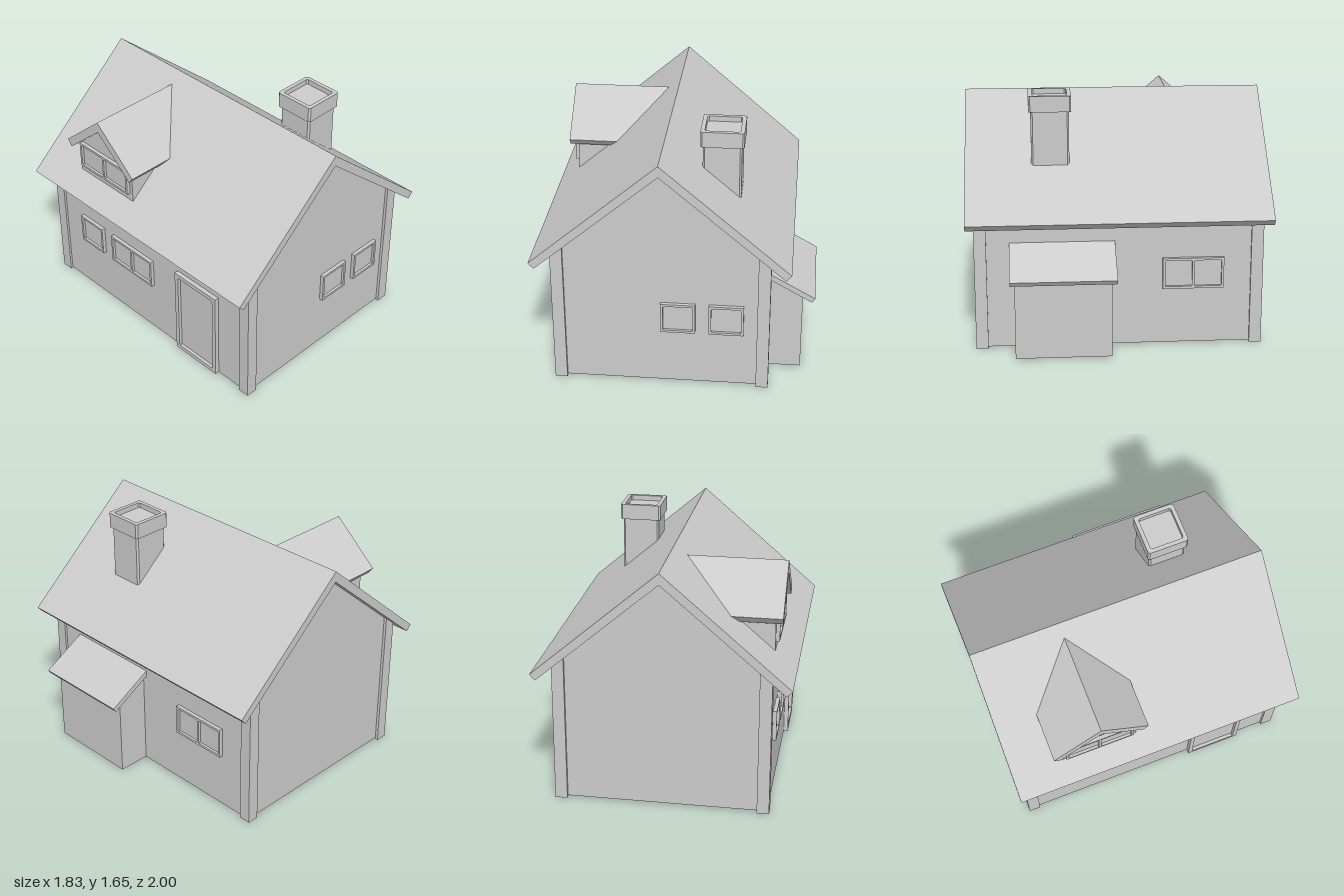
import * as THREE from 'three';

const material = new THREE.MeshStandardMaterial({ color: 0xcccccc, flatShading: true });
const RIDGE_X = -0.08, RIDGE_Y = 1.61, SLOPE = 0.862;
// Height of the main roof's top and underside at x
const roofTop = (x) => RIDGE_Y - SLOPE * Math.abs(x - RIDGE_X);
const roofUnder = (x) => roofTop(x) - 0.075;

const polygon = (points) => new THREE.Shape(points.map(([x, y]) => new THREE.Vector2(x, y)));

// Rectangle with small cut corners
function cutRect(x0, x1, y0, y1, c) {
  return polygon([[x0 + c, y0], [x1 - c, y0], [x1, y0 + c], [x1, y1 - c],
    [x1 - c, y1], [x0 + c, y1], [x0, y1 - c], [x0, y0 + c]]);
}

const extrude = (shape, depth) => new THREE.ExtrudeGeometry(shape, { depth, bevelEnabled: false });

function add(parent, name, geometry) {
  const mesh = new THREE.Mesh(geometry, material);
  mesh.name = name;
  parent.add(mesh);
  return mesh;
}

// Profile in x/y, running from z0 to z1
function prism(parent, name, points, z0, z1) {
  return add(parent, name, extrude(polygon(points), z1 - z0).translate(0, 0, z0));
}

// Vertical block with cut corners, optionally hollow
function column(parent, name, cx, cz, half, y0, y1, holeHalf) {
  const shape = cutRect(-half, half, -half, half, 0.012);
  if (holeHalf) shape.holes.push(cutRect(-holeHalf, holeHalf, -holeHalf, holeHalf, 0.01));
  return add(parent, name, extrude(shape, y1 - y0).rotateX(-Math.PI / 2).translate(cx, y0, cz));
}

// Framed opening built facing +z, with the wall surface at z = 0
function opening(name, width, y0, y1, panes, border, depth) {
  const group = new THREE.Group();
  group.name = name;
  const w = width / 2;
  const frame = polygon([[-w, y0], [w, y0], [w, y1], [-w, y1]]);
  const paneWidth = (width - border * (panes + 1)) / panes;
  for (let i = 0; i < panes; i++) {
    const left = -w + border + i * (paneWidth + border);
    frame.holes.push(cutRect(left, left + paneWidth, y0 + border, y1 - border, 0.005));
  }
  add(group, 'frame', extrude(frame, depth + 0.01).translate(0, 0, -0.01));
  add(group, 'panel', new THREE.BoxGeometry(width - border, y1 - y0 - border, 0.015)
    .translate(0, (y0 + y1) / 2, 0));
  return group;
}

// Profile in z/y running back from x0 until it meets the main roof slope
function dormerPrism(parent, name, points, x0) {
  const geometry = extrude(polygon(points), 1).rotateY(-Math.PI / 2);
  const p = geometry.attributes.position;
  for (let i = 0; i < p.count; i++) {
    const meet = RIDGE_X - (RIDGE_Y - p.getY(i)) / SLOPE + 0.005;
    p.setX(i, p.getX(i) < -0.5 ? x0 : Math.max(x0, meet));
  }
  geometry.computeVertexNormals();
  return add(parent, name, geometry);
}

export function createModel() {
  const house = new THREE.Group();
  house.name = 'house';

  // Gabled walls
  const wl = -0.77, wr = 0.61;
  prism(house, 'walls', [[wl, 0.01], [wr, 0.01], [wr, roofUnder(wr) + 0.01],
    [RIDGE_X, roofUnder(RIDGE_X) + 0.01], [wl, roofUnder(wl) + 0.01]], -0.93, 0.93);

  // Main roof
  prism(house, 'roof', [[-0.88, 0.85], [RIDGE_X, 1.535], [0.72, 0.85],
    [0.755, 0.89], [RIDGE_X, RIDGE_Y], [-0.915, 0.89]], -1, 1);

  // Corner posts, cut to the roof slope
  for (const [x0, x1] of [[-0.785, -0.705], [0.545, 0.625]]) {
    for (const z0 of [-0.95, 0.87]) {
      prism(house, 'cornerPost', [[x0, 0], [x1, 0], [x1, roofUnder(x1) + 0.005],
        [x0, roofUnder(x0) + 0.005]], z0, z0 + 0.08);
    }
  }

  // Side annex with lean-to roof
  const annex = new THREE.Group();
  annex.name = 'annex';
  house.add(annex);
  prism(annex, 'annexWalls', [[0.58, 0.01], [0.83, 0.01], [0.83, 0.57], [0.58, 0.711]], 0.06, 0.69);
  prism(annex, 'annexRoof', [[0.6, 0.694], [0.89, 0.53], [0.91, 0.56], [0.6, 0.735]], 0.03, 0.72);

  // Chimney with hollow cap
  const chimney = new THREE.Group();
  chimney.name = 'chimney';
  house.add(chimney);
  column(chimney, 'shaft', 0.28, 0.44, 0.125, 1.12, 1.62);
  column(chimney, 'cap', 0.28, 0.44, 0.14, 1.55, 1.655, 0.113);

  // Dormer
  const dormer = new THREE.Group();
  dormer.name = 'dormer';
  house.add(dormer);
  const dz = -0.395;
  dormerPrism(dormer, 'dormerWalls', [[dz - 0.26, 1.0], [dz + 0.26, 1.0], [dz + 0.26, 1.245],
    [dz, 1.475], [dz - 0.26, 1.245]], -0.77);
  dormerPrism(dormer, 'dormerRoof', [[dz - 0.29, 1.21], [dz, 1.465], [dz + 0.29, 1.21],
    [dz + 0.325, 1.255], [dz, 1.54], [dz - 0.325, 1.255]], -0.82);

  // Windows and door: side, centre along the wall, width, bottom, top, panes
  const sides = {
    front: (c) => [c, 0.93, 0],
    right: (c) => [wr, c, Math.PI / 2],
    left: (c) => [wl, c, -Math.PI / 2],
  };
  const openings = [
    ['window', 'front', 0.0325, 0.225, 0.395, 0.605, 1],
    ['window', 'front', 0.345, 0.225, 0.395, 0.605, 1],
    ['doubleWindow', 'right', -0.4875, 0.405, 0.395, 0.605, 2],
    ['window', 'left', -0.57, 0.225, 0.395, 0.605, 1],
    ['doubleWindow', 'left', -0.16, 0.405, 0.395, 0.605, 2],
    ['dormerWindow', 'left', dz, 0.47, 1.07, 1.255, 2],
    ['door', 'left', 0.475, 0.38, 0.01, 0.67, 1],
  ];
  for (const [name, side, centre, width, y0, y1, panes] of openings) {
    const isDoor = name === 'door';
    const part = opening(name, width, y0, y1, panes, isDoor ? 0.03 : 0.016, isDoor ? 0.03 : 0.025);
    const [x, z, turn] = sides[side](centre);
    part.position.set(x, 0, z);
    part.rotation.y = turn;
    house.add(part);
  }

  return house;
}
